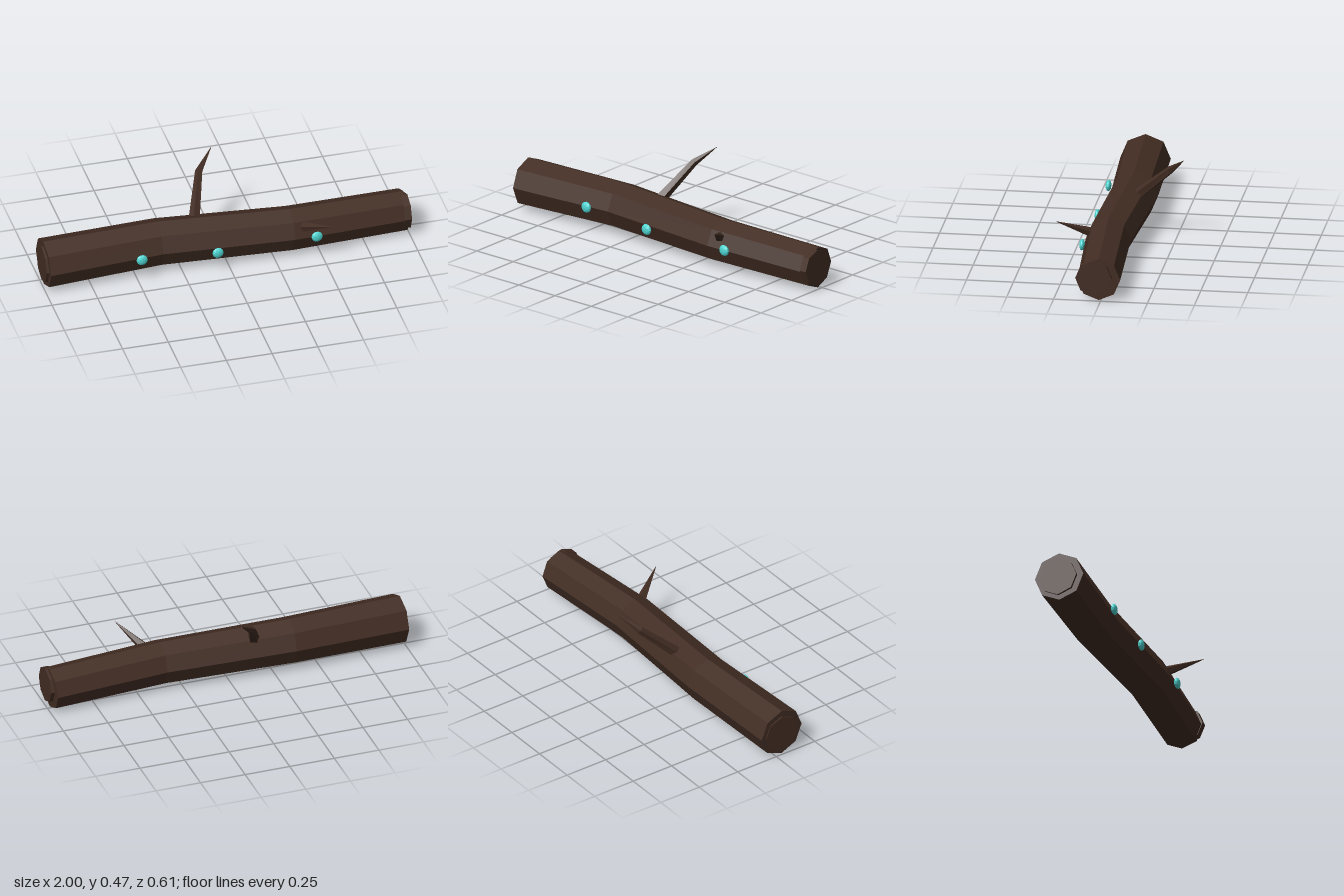
import * as THREE from 'three';

const bark = new THREE.MeshStandardMaterial({ color: 0x422d23, flatShading: true });
bark.name = 'bark brown';
const crystal = new THREE.MeshStandardMaterial({ color: 0x4fd6d2, flatShading: true });
crystal.name = 'crystal teal';

// Closed faceted limb through stations of [x, y, z, radius]
function limbGeometry(stations, sides) {
  const centres = stations.map(([x, y, z]) => new THREE.Vector3(x, y, z));
  const last = stations.length - 1;
  const positions = [];
  const rings = centres.map((c, i) => {
    const t = centres[Math.min(i + 1, last)].clone().sub(centres[Math.max(i - 1, 0)]).normalize();
    const u = new THREE.Vector3(0, 1, 0).addScaledVector(t, -t.y).normalize();
    const v = t.clone().cross(u);
    return Array.from({ length: sides }, (_, j) => {
      const a = (j / sides) * Math.PI * 2;
      const r = stations[i][3];
      return c.clone().addScaledVector(u, r * Math.cos(a)).addScaledVector(v, r * Math.sin(a));
    });
  });
  const tri = (...points) => points.forEach((p) => positions.push(p.x, p.y, p.z));
  for (let j = 0; j < sides; j++) {
    const k = (j + 1) % sides;
    for (let i = 0; i < last; i++) {
      tri(rings[i][j], rings[i][k], rings[i + 1][j]);
      tri(rings[i][k], rings[i + 1][k], rings[i + 1][j]);
    }
    tri(centres[0], rings[0][k], rings[0][j]);
    tri(centres[last], rings[last][j], rings[last][k]);
  }
  const geometry = new THREE.BufferGeometry();
  geometry.setAttribute('position', new THREE.Float32BufferAttribute(positions, 3));
  geometry.computeVertexNormals();
  return geometry;
}

export function createModel() {
  const model = new THREE.Group();
  model.name = 'fallenLog';

  const add = (name, geometry, material) => {
    const mesh = new THREE.Mesh(geometry, material);
    mesh.name = name;
    model.add(mesh);
    return mesh;
  };

  // Gently bent trunk
  add('trunk', limbGeometry([
    [-0.99, 0.14, 0.042, 0.134],
    [-0.36, 0.147, 0.013, 0.127],
    [0.35, 0.134, 0.05, 0.12],
    [0.983, 0.12, 0.012, 0.114],
  ], 8), bark);

  // Slightly raised discs on the cut ends
  add('leftCutEnd', limbGeometry([[0.96, 0.13, 0.038, 0.097], [1, 0.13, 0.038, 0.097]], 8), bark);
  add('rightCutEnd', limbGeometry([[-1, 0.137, 0.038, 0.104], [-0.96, 0.137, 0.038, 0.104]], 8), bark);

  // Broken branches
  add('backBranch', limbGeometry([
    [-0.145, 0.222, -0.035, 0.031],
    [-0.07, 0.392, -0.22, 0.021],
    [0.02, 0.477, -0.305, 0.001],
  ], 5), bark);
  add('frontTwig', limbGeometry([
    [0.4, 0.18, 0.12, 0.03],
    [0.515, 0.275, 0.305, 0.001],
  ], 5), bark);

  // Flattened crystals along the front
  [[-0.485, 0.15, 0.168], [-0.07, 0.124, 0.168], [0.47, 0.137, 0.173]].forEach(([x, y, z], i) => {
    const gem = add(`crystal${i + 1}`, new THREE.IcosahedronGeometry(0.031, 1), crystal);
    gem.position.set(x, y, z);
    gem.scale.z = 0.5;
  });

  return model;
}
